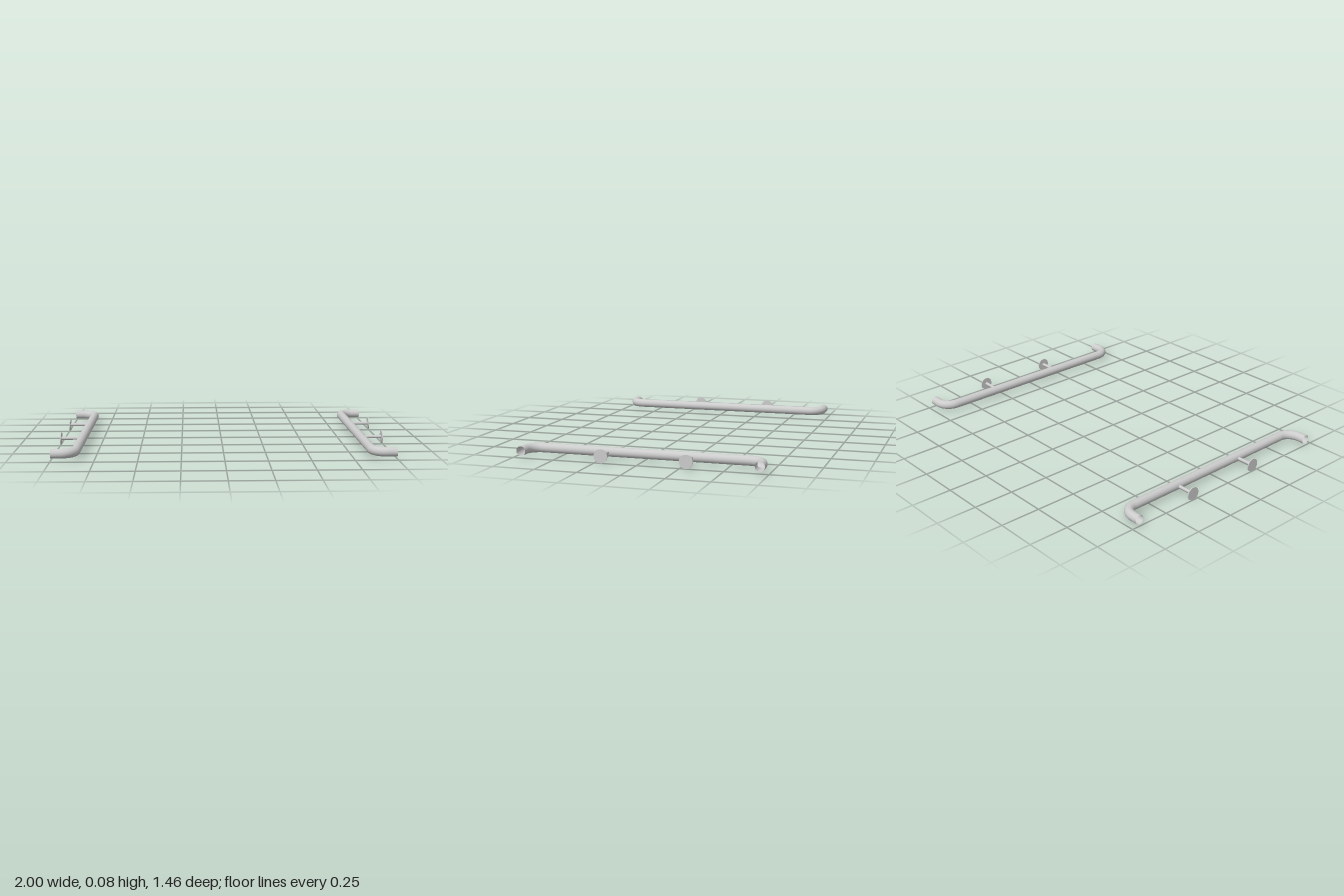
import * as THREE from 'three';

const Y = 0.04;          // height of the rail axis
const RAIL_X = 0.865;    // distance of the long run from the middle
const END_Z = 0.7;       // distance of the returned ends
const BEND = 0.083;      // bend radius on the axis
const RAIL_R = 0.028;

const steel = new THREE.MeshStandardMaterial({ color: 0xcccccc });
const openSteel = new THREE.MeshStandardMaterial({ color: 0xcccccc, side: THREE.DoubleSide });

// Rail axis: wall, quarter bend, long run, quarter bend, wall
function railPath(side) {
  const points = [new THREE.Vector3(side, Y, -END_Z)];
  const steps = 12;
  for (const end of [-1, 1]) {
    for (let i = 0; i <= steps; i++) {
      const t = (end < 0 ? i : steps - i) / steps * Math.PI / 2;
      points.push(new THREE.Vector3(
        side * (RAIL_X + BEND * (1 - Math.sin(t))),
        Y,
        end * (END_Z - BEND * (1 - Math.cos(t)))
      ));
    }
  }
  points.push(new THREE.Vector3(side, Y, END_Z));
  const path = new THREE.CurvePath();
  for (let i = 1; i < points.length; i++) path.add(new THREE.LineCurve3(points[i - 1], points[i]));
  // Sample exactly at the joints, with smooth tangents between them
  path.getPointAt = (u) => {
    const f = u * (points.length - 1);
    const i = Math.min(Math.floor(f + 1e-6), points.length - 2);
    return points[i].clone().lerp(points[i + 1], f - i);
  };
  path.getTangentAt = (u) => {
    const i = Math.round(u * (points.length - 1));
    const a = points[Math.max(i - 1, 0)], b = points[Math.min(i + 1, points.length - 1)];
    const into = points[i].clone().sub(a).normalize();
    const out = b.clone().sub(points[i]).normalize();
    return into.add(out).normalize();
  };
  return { path, segments: points.length - 1 };
}

// Cylinder lying along x between two x positions
function rod(name, x0, x1, z, radius, sides) {
  const geometry = new THREE.CylinderGeometry(radius, radius, Math.abs(x1 - x0), sides);
  geometry.rotateZ(Math.PI / 2);
  const mesh = new THREE.Mesh(geometry, steel);
  mesh.name = name;
  mesh.position.set((x0 + x1) / 2, Y, z);
  return mesh;
}

function handrail(side) {
  const group = new THREE.Group();
  group.name = side > 0 ? 'leftHandrail' : 'rightHandrail';

  // Open-ended bent tube
  const { path, segments } = railPath(side);
  const rail = new THREE.Mesh(new THREE.TubeGeometry(path, segments, RAIL_R, 32, false), openSteel);
  rail.name = 'rail';
  group.add(rail);

  // Wall brackets: thin post with a round plate
  for (const z of [-0.287, 0.212]) {
    const bracket = new THREE.Group();
    bracket.name = 'wallBracket';
    bracket.add(
      rod('post', side * (RAIL_X + 0.01), side * 0.996, z, 0.01, 20),
      rod('wallPlate', side * 0.994, side, z, 0.04, 40)
    );
    group.add(bracket);
  }
  return group;
}

export function createModel() {
  const model = new THREE.Group();
  model.name = 'handrails';
  for (const side of [-1, 1]) model.add(handrail(side));
  return model;
}
